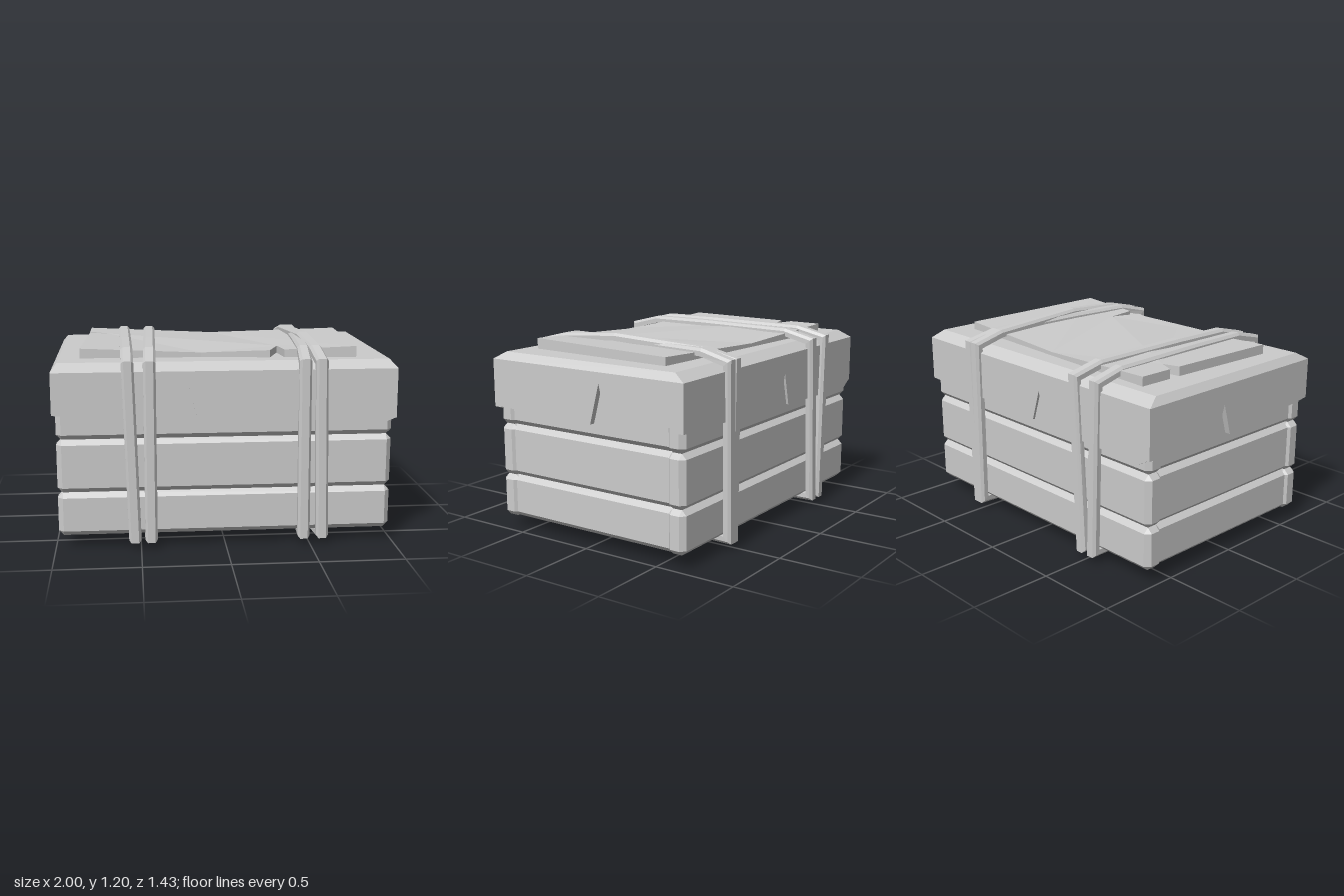
import * as THREE from 'three';
import { ConvexGeometry } from 'three/addons/geometries/ConvexGeometry.js';

const grey = new THREE.MeshStandardMaterial({ color: 0xcccccc, flatShading: true });

function part(parent, name, geometry) {
  const mesh = new THREE.Mesh(geometry, grey);
  mesh.name = name;
  parent.add(mesh);
  return mesh;
}

// Box with every edge cut by a bevel c
function bevelBox(w, h, d, c) {
  const pts = [];
  for (const x of [-w / 2, w / 2]) for (const y of [-h / 2, h / 2]) for (const z of [-d / 2, d / 2]) {
    const ix = x - Math.sign(x) * c, iy = y - Math.sign(y) * c, iz = z - Math.sign(z) * c;
    pts.push(new THREE.Vector3(x, iy, iz), new THREE.Vector3(ix, y, iz), new THREE.Vector3(ix, iy, z));
  }
  return new ConvexGeometry(pts);
}

function polygon(points) {
  return new THREE.Shape(points.map(([x, y]) => new THREE.Vector2(x, y)));
}

// Lid wall with a ragged, split lower edge; outer face lies at z = 0
function skirt(lower, top) {
  const first = lower[0][0], last = lower[lower.length - 1][0];
  const g = new THREE.ExtrudeGeometry(polygon([...lower, [last, top], [first, top]]),
    { depth: 0.05, bevelEnabled: false });
  return g.translate(0, 0, -0.05);
}

// Closed band around the box. x = [front bottom, front top, back top, back bottom]
function bandGeometry(x, crest, sag) {
  const path = [[0.715, 0.045], [0.715, 1.12], [0.51, 1.172], [0.12, crest],
    [-0.51, 1.168], [-0.715, 1.12], [-0.715, 0.045], [0.03, sag]];
  const section = [[-0.036, 0.045], [-0.036, 0.016], [-0.022, 0], [0.022, 0], [0.036, 0.016], [0.036, 0.045]];
  const n = path.length, m = section.length, pos = [], index = [];
  const inward = (a, b) => {
    const dz = b[0] - a[0], dy = b[1] - a[1], l = Math.hypot(dz, dy);
    return [-dy / l, dz / l];
  };
  path.forEach((p, i) => {
    const a = inward(path[(i + n - 1) % n], p), b = inward(p, path[(i + 1) % n]);
    const k = 1 + a[0] * b[0] + a[1] * b[1];
    const nz = (a[0] + b[0]) / k, ny = (a[1] + b[1]) / k;
    const t = (0.715 - p[0]) / 1.43;
    const cx = p[1] > 0.5 ? x[1] + (x[2] - x[1]) * t : x[0] + (x[3] - x[0]) * t;
    for (const [u, v] of section) pos.push(cx + u, p[1] + (-ny) * -v, p[0] + nz * v);
    for (let j = 0; j < m; j++) {
      const q = (i + 1) % n, r = (j + 1) % m;
      index.push(i * m + j, i * m + r, q * m + j, i * m + r, q * m + r, q * m + j);
    }
  });
  const g = new THREE.BufferGeometry();
  g.setAttribute('position', new THREE.Float32BufferAttribute(pos, 3));
  g.setIndex(index);
  const flat = g.toNonIndexed();
  flat.computeVertexNormals();
  return flat;
}

export function createModel() {
  const model = new THREE.Group();
  model.name = 'strappedCrate';

  // Crate body: a core faced with three tiers of bevelled boards
  const body = new THREE.Group();
  body.name = 'body';
  model.add(body);
  part(body, 'core', new THREE.BoxGeometry(1.86, 0.915, 1.24)).position.y = 0.5425;
  for (const [y0, y1] of [[0.085, 0.345], [0.345, 0.66], [0.66, 0.98]]) {
    const h = y1 - y0, y = (y0 + y1) / 2;
    for (const s of [-1, 1]) {
      part(body, 'longBoard', bevelBox(1.96, h, 0.12, 0.03)).position.set(0, y, s * 0.61);
      part(body, 'endBoard', bevelBox(0.12, h, 1.21, 0.03)).position.set(s * 0.905, y, 0);
    }
  }

  // Lid: bevelled slab with four ragged walls
  const lid = new THREE.Group();
  lid.name = 'lid';
  model.add(lid);
  const slab = [];
  for (const sx of [-1, 1]) for (const sz of [-1, 1]) {
    slab.push(new THREE.Vector3(sx, 0.995, sz * 0.685), new THREE.Vector3(sx, 1.055, sz * 0.685),
      new THREE.Vector3(sx * 0.965, 1.1, sz * 0.607));
  }
  part(lid, 'lidSlab', new ConvexGeometry(slab));
  const walls = [
    ['frontWall', 0, 0.685, [[-1, 0.81], [-0.24, 0.735], [-0.215, 0.96], [-0.165, 0.77], [0.35, 0.83], [0.92, 0.735], [1, 0.765]]],
    ['rightWall', Math.PI / 2, 1, [[-0.685, 0.77], [0.05, 0.75], [0.115, 0.99], [0.165, 0.79], [0.6, 0.805], [0.685, 0.79]]],
    ['backWall', Math.PI, 0.685, [[-1, 0.78], [0.03, 0.75], [0.09, 0.94], [0.14, 0.74], [0.92, 0.72], [1, 0.77]]],
    ['leftWall', -Math.PI / 2, 1, [[-0.685, 0.76], [-0.15, 0.74], [-0.085, 0.94], [-0.03, 0.75], [0.6, 0.8], [0.685, 0.81]]],
  ];
  for (const [name, turn, out, lower] of walls) {
    const wall = part(lid, name, skirt(lower, 1.03));
    wall.rotation.y = turn;
    wall.position.set(Math.sin(turn) * out, 0, Math.cos(turn) * out);
  }

  // Warped, split panel lying on the lid; outline in x and -z
  const outline = [[-0.84, -0.445], [-0.13, -0.455], [0.275, -0.5], [0.34, -0.32], [0.36, -0.505],
    [0.785, -0.525], [0.84, 0.455], [0, 0.5], [-0.8, 0.54], [-0.805, 0.33], [-0.69, 0.275], [-0.805, 0.255]];
  const panel = new THREE.ExtrudeGeometry(polygon(outline), { depth: 0.06, bevelEnabled: false });
  panel.rotateX(-Math.PI / 2);
  const p = panel.attributes.position;
  for (let i = 0; i < p.count; i++) {
    const x = p.getX(i), z = p.getZ(i), top = p.getY(i) > 0.03;
    const rise = 1.122 + 0.042 * Math.abs(x) + (x > 0 ? 0.018 * z : 0);
    p.setY(i, top ? rise : 1.085);
  }
  panel.computeVertexNormals();
  part(lid, 'topPanel', panel);

  // Two pairs of bands, the right pair crossing over the lid
  const bands = new THREE.Group();
  bands.name = 'bands';
  model.add(bands);
  for (const [x, crest, sag] of [
    [[-0.535, -0.565, -0.585, -0.555], 1.175, 0.04],
    [[-0.44, -0.44, -0.41, -0.465], 1.175, 0.04],
    [[0.46, 0.455, 0.56, 0.54], 1.175, 0.04],
    [[0.57, 0.55, 0.5, 0.51], 1.2, 0.005],
  ]) part(bands, 'band', bandGeometry(x, crest, sag));

  return model;
}
